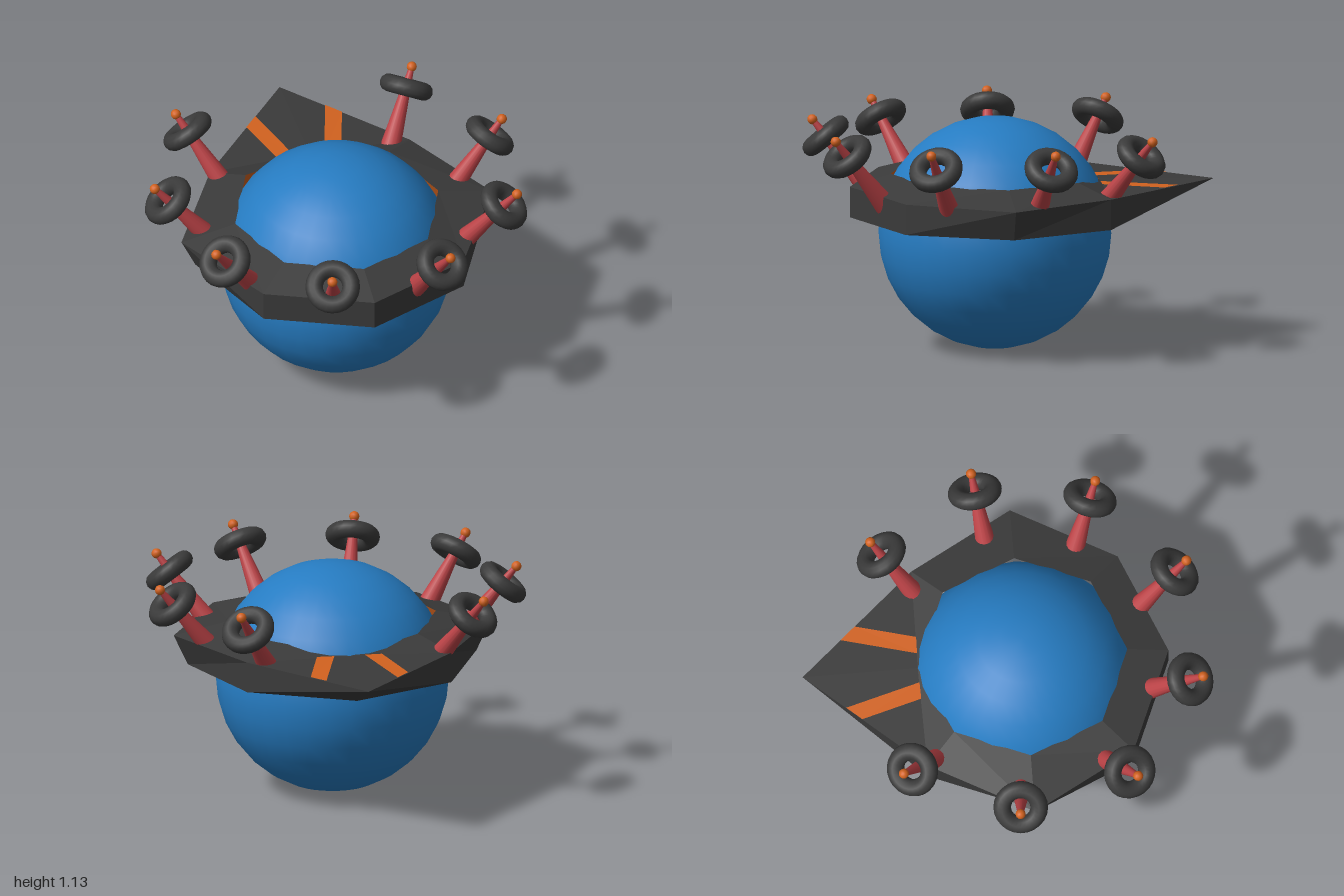
import * as THREE from 'three';

const CZ = 0.07; // z of the central axis

export function createModel() {
  const mat = (name, color) => {
    const m = new THREE.MeshStandardMaterial({ color });
    m.name = name;
    return m;
  };
  const blue = mat('blue', 0x267cc2);
  const dark = mat('charcoal', 0x3a3a3a);
  const orange = mat('orange', 0xd2621f);
  const red = mat('red', 0xba4246);

  const model = new THREE.Group();
  model.name = 'orbCraft';
  const add = (parent, name, geometry, material) => {
    const mesh = new THREE.Mesh(geometry, material);
    mesh.name = name;
    parent.add(mesh);
    return mesh;
  };

  // Round body
  add(model, 'body', new THREE.SphereGeometry(0.566, 32, 16), blue).position.set(0, 0.57, CZ);

  // Octagonal collar: one four-cornered section per vertex, starting at the back spike
  const sections = [];
  for (let i = 0; i < 8; i++) {
    const a = (i * Math.PI) / 4;
    const at = (r, y) => [Math.sin(a) * r, y, CZ - Math.cos(a) * r];
    const back = i === 0;
    const side = i === 2 || i === 6;
    sections.push([
      at(0.615, 0.66), // inner bottom
      at(back ? 0.73 : 0.71, 0.66), // outer bottom
      at(back ? 1.07 : side ? 0.78 : 0.71, 0.81), // outer top
      at(0.51, back ? 0.82 : 0.87), // inner top
    ]);
  }
  // The split of each quad is mirrored left to right
  const pos = { shell: [], lining: [] };
  for (let i = 0; i < 8; i++) {
    const p = sections[i];
    const q = sections[(i + 1) % 8];
    for (let k = 0; k < 4; k++) {
      const n = (k + 1) % 4;
      const [a, b, c, d] = [p[k], p[n], q[n], q[k]];
      const tris = i < 4 ? [a, b, d, b, c, d] : [a, b, c, a, c, d];
      (k === 3 ? pos.lining : pos.shell).push(...tris.flat());
    }
  }
  const facets = (list) => {
    const g = new THREE.BufferGeometry();
    g.setAttribute('position', new THREE.Float32BufferAttribute(list, 3));
    g.computeVertexNormals();
    return g;
  };
  add(model, 'collar', facets(pos.shell), dark);
  add(model, 'collarLining', facets(pos.lining), orange);

  // Two painted stripes on the spike
  for (const s of [1, -1]) {
    const a = [s * 0.075, 0.823, -0.437];
    const b = [s * 0.16, 0.823, -0.435];
    const c = [s * 0.24, 0.814, -0.728];
    const d = [s * 0.175, 0.814, -0.802];
    const tris = s > 0 ? [a, b, c, a, c, d] : [a, c, b, a, d, c];
    add(model, s > 0 ? 'leftStripe' : 'rightStripe', facets(tris.flat()), orange);
  }

  // Eight outward-leaning stalks, each with a ring and a ball tip
  const base = new THREE.Vector3(0.6, 0.74, 0);
  const tip = new THREE.Vector3(0.896, 1.1, 0);
  const length = base.distanceTo(tip);
  const lean = Math.atan2(tip.x - base.x, tip.y - base.y);
  for (let i = 0; i < 8; i++) {
    const arm = new THREE.Group();
    arm.name = 'arm' + (i + 1);
    arm.position.z = CZ;
    arm.rotation.y = -THREE.MathUtils.degToRad(-51 + i * 39.35);
    const stalk = new THREE.Group();
    stalk.name = 'leaningStalk';
    stalk.position.copy(base);
    stalk.rotation.z = -lean;
    arm.add(stalk);

    const cone = new THREE.CylinderGeometry(0.013, 0.056, length, 16);
    add(stalk, 'stalk', cone, red).position.y = length / 2;
    const ring = add(stalk, 'ring', new THREE.TorusGeometry(0.09, 0.043, 12, 24), dark);
    ring.rotation.x = Math.PI / 2;
    ring.position.y = length * 0.78;
    add(stalk, 'ballTip', new THREE.SphereGeometry(0.025, 12, 8), orange).position.y = length;
    model.add(arm);
  }
  return model;
}
